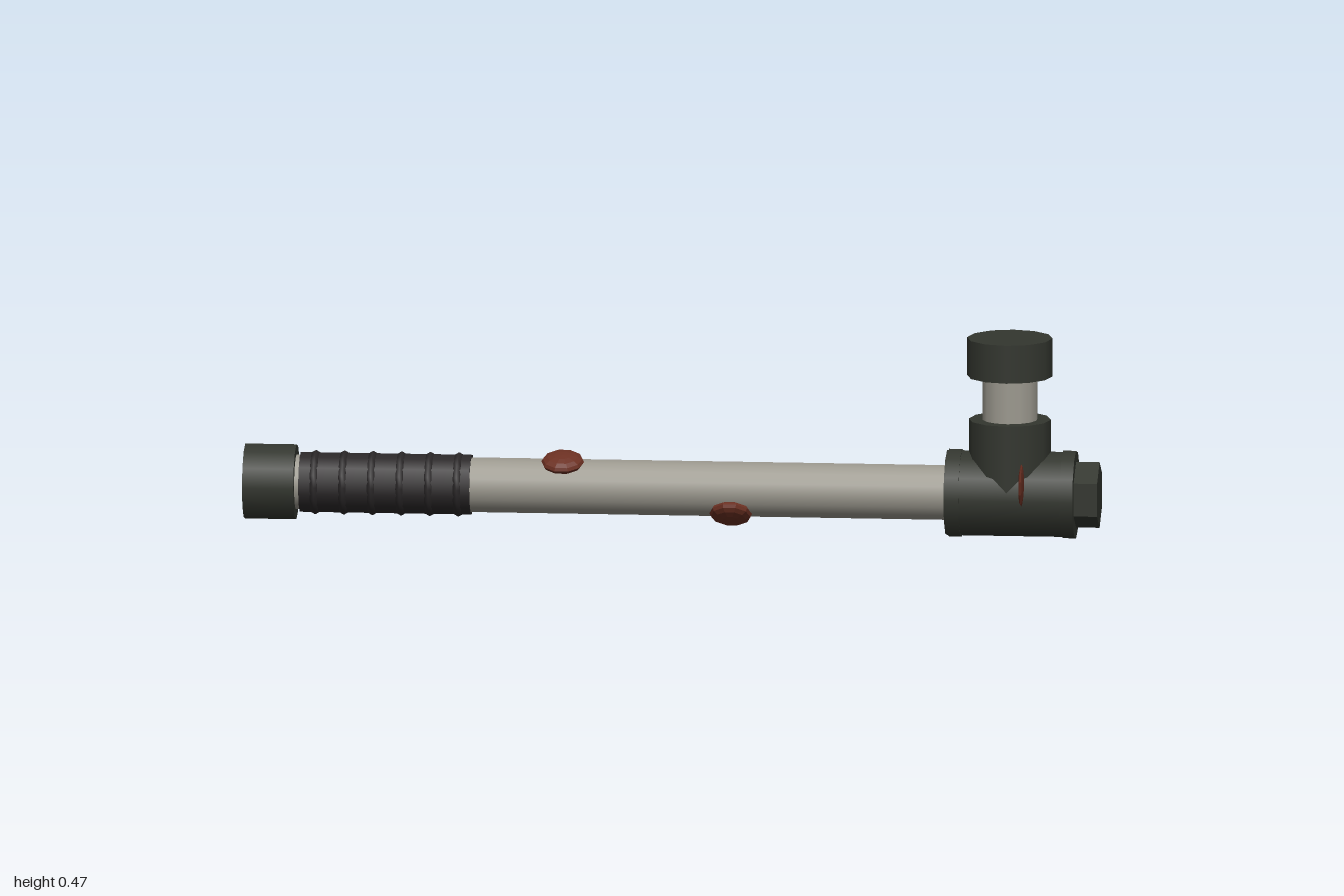
import * as THREE from 'three';

const AXIS_Y = 0.105, AXIS_Z = -0.02, BRANCH_X = 0.79;
const mat = (color, flat = false) => new THREE.MeshStandardMaterial({ color, flatShading: flat });

export function createModel() {
  const model = new THREE.Group();
  const steel = mat(0x9c998f), iron = mat(0x33362f), ironFlat = mat(0x33362f, true);
  const tape = mat(0x2b2829), rust = mat(0x6b3022, true);

  const add = (name, geometry, material, x, y, z) => {
    const mesh = new THREE.Mesh(geometry, material);
    mesh.name = name;
    mesh.position.set(x, y, z);
    model.add(mesh);
    return mesh;
  };
  // Cylinder lying along x between x0 and x1, with a corner at the top
  const along = (name, x0, x1, r, sides, material) => {
    const g = new THREE.CylinderGeometry(r, r, x1 - x0, sides, 1, false, Math.PI / 2);
    g.rotateZ(-Math.PI / 2);
    return add(name, g, material, (x0 + x1) / 2, AXIS_Y, AXIS_Z);
  };
  // Upright cylinder on the branch between y0 and y1
  const upright = (name, y0, y1, r, sides, material) =>
    add(name, new THREE.CylinderGeometry(r, r, y1 - y0, sides), material, BRANCH_X, (y0 + y1) / 2, AXIS_Z);

  // Handle: pipe, end cap and ribbed grip
  along('pipe', -0.9, 0.7, 0.065, 16, steel);
  along('endCap', -1, -0.88, 0.089, 12, iron);
  along('grip', -0.87, -0.47, 0.071, 14, tape);
  for (let i = 0; i < 6; i++) {
    const ring = new THREE.TorusGeometry(0.066, 0.01, 6, 16);
    ring.rotateY(Math.PI / 2);
    add('gripRing', ring, tape, -0.835 + i * 0.067, AXIS_Y, AXIS_Z);
  }

  // Tee fitting with end collars and hexagonal plug
  along('teeBody', 0.643, 0.943, 0.101, 12, iron);
  along('teeCollar', 0.648, 0.678, 0.104, 12, iron);
  along('teeCollar', 0.915, 0.945, 0.104, 12, iron);
  along('hexPlug', 0.93, 1, 0.078, 6, ironFlat);

  // Branch: socket, short pipe and head cap
  upright('teeBranch', AXIS_Y, 0.282, 0.096, 12, iron);
  upright('branchPipe', 0.26, 0.4, 0.065, 14, steel);
  upright('headCap', 0.385, 0.475, 0.1, 12, iron);

  // Rust spots: flattened balls lying on the pipe, angle measured from the top towards the front
  const spot = (x, degrees) => {
    const a = THREE.MathUtils.degToRad(degrees);
    const g = new THREE.SphereGeometry(0.05, 10, 8);
    g.scale(1, 0.38, 1);
    const mesh = add('rustSpot', g, rust, x, AXIS_Y + 0.065 * Math.cos(a), AXIS_Z + 0.065 * Math.sin(a));
    mesh.rotation.x = a;
  };
  spot(-0.255, 18);
  spot(0.14, 142);
  spot(0.455, 248);

  // Thin rust flake standing out from the tee
  const flake = new THREE.SphereGeometry(0.05, 10, 8);
  flake.scale(1, 0.12, 1);
  flake.rotateZ(Math.PI / 2);
  add('rustFlake', flake, rust, 0.825, 0.143, 0.075);

  return model;
}
